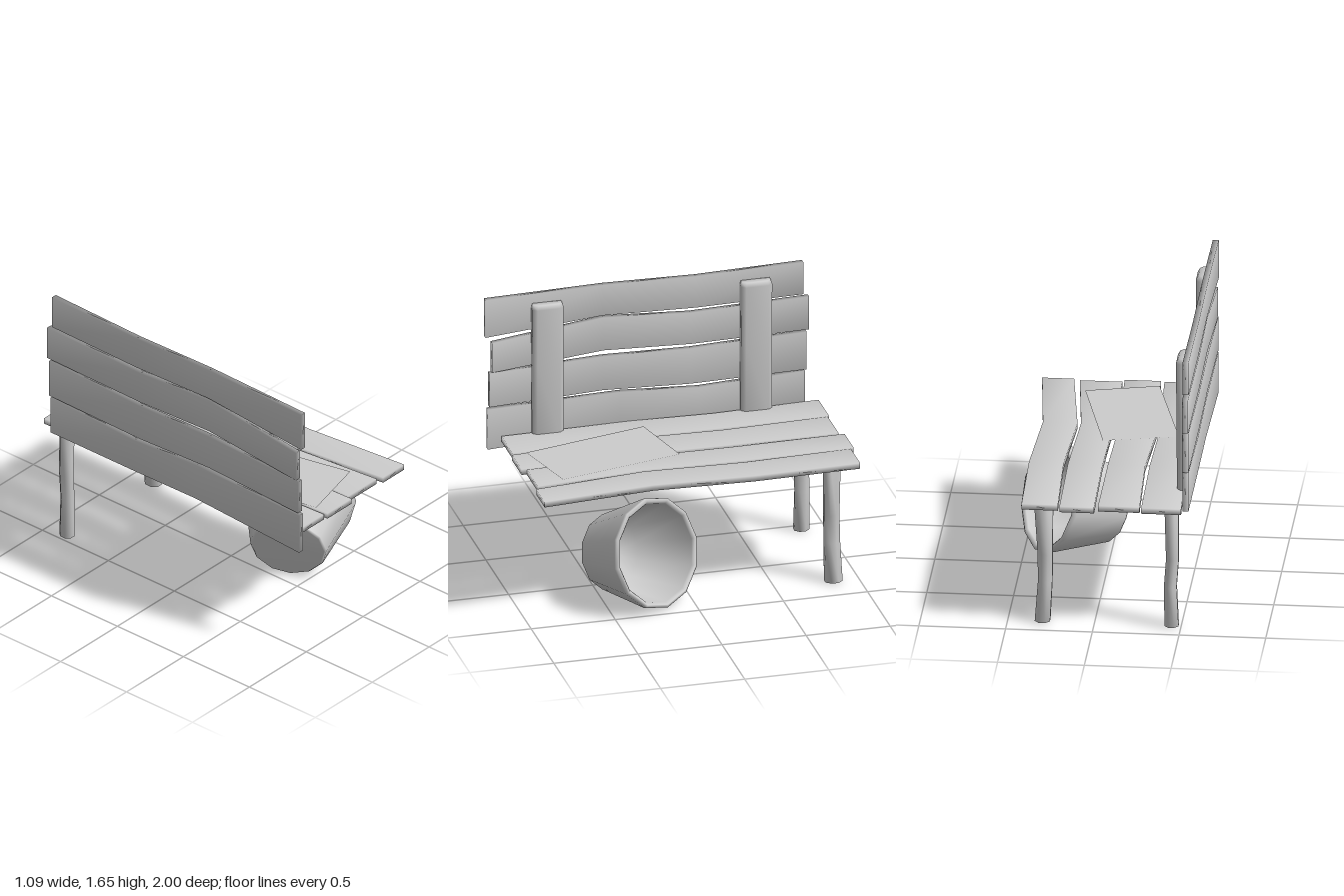
import * as THREE from 'three';

const grey = new THREE.MeshStandardMaterial({ color: 0xcccccc });
grey.name = 'plainGrey';
const greySheet = grey.clone();
greySheet.name = 'plainGreySheet';
greySheet.side = THREE.DoubleSide;

// Solid through a list of convex rings, closed at both ends, soft normals
function loft(name, rings) {
  const n = rings[0].length;
  const last = (rings.length - 1) * n;
  const index = [];
  for (let r = 0; r < rings.length - 1; r++) {
    for (let i = 0; i < n; i++) {
      const a = r * n + i, b = r * n + (i + 1) % n;
      index.push(a, b, b + n, a, b + n, a + n);
    }
  }
  for (let i = 1; i < n - 1; i++) {
    index.push(0, i + 1, i, last, last + i, last + i + 1);
  }
  // Turn the faces outward whichever way the rings run
  const p = rings.flat();
  const c = p.reduce((s, v) => s.add(v), new THREE.Vector3()).divideScalar(p.length);
  let volume = 0;
  for (let i = 0; i < index.length; i += 3) {
    const [a, b, d] = [0, 1, 2].map((k) => p[index[i + k]].clone().sub(c));
    volume += a.dot(b.cross(d));
  }
  if (volume < 0) index.reverse();
  const g = new THREE.BufferGeometry().setFromPoints(p);
  g.setIndex(index);
  g.computeVertexNormals();
  const mesh = new THREE.Mesh(g, grey);
  mesh.name = name;
  return mesh;
}

const v = (x, y, z) => new THREE.Vector3(x, y, z);

export function createModel() {
  const model = new THREE.Group();
  model.name = 'benchWithBucket';

  // Seat planks: stations of z, left edge, right edge
  const seat = new THREE.Group();
  seat.name = 'seat';
  [
    [[-0.98, -0.51, -0.28], [-0.35, -0.485, -0.27], [0.15, -0.505, -0.28], [0.91, -0.49, -0.24]],
    [[-0.97, -0.27, -0.03], [-0.35, -0.245, -0.03], [0.15, -0.265, -0.04], [0.92, -0.22, -0.01]],
    [[-1.0, -0.01, 0.19], [-0.35, 0.0, 0.2], [0.25, -0.01, 0.18], [0.89, 0.0, 0.245]],
    [[-0.98, 0.2, 0.41], [-0.35, 0.225, 0.425], [0.25, 0.2, 0.4], [0.91, 0.28, 0.465]],
  ].forEach((plank) => seat.add(loft('seatPlank', plank.map(([z, a, b]) => [
    v(a, 0.74, z), v(b, 0.74, z), v(b, 0.775, z), v(a, 0.775, z),
  ]))));
  model.add(seat);

  // Back slats: stations of z, lower edge, upper edge
  const back = new THREE.Group();
  back.name = 'backrest';
  [
    [[1.0, 1.395, 1.63], [0.3, 1.455, 1.645], [-0.25, 1.44, 1.635], [-0.89, 1.45, 1.65]],
    [[0.96, 1.17, 1.355], [0.3, 1.235, 1.44], [-0.22, 1.215, 1.41], [-0.925, 1.225, 1.43]],
    [[0.975, 0.955, 1.165], [0.3, 0.985, 1.195], [-0.22, 0.965, 1.185], [-0.91, 0.975, 1.21]],
    [[0.985, 0.69, 0.94], [0.2, 0.735, 0.96], [-0.27, 0.73, 0.935], [-0.9, 0.73, 0.965]],
  ].forEach((slat) => back.add(loft('backSlat', slat.map(([z, a, b]) => [
    v(-0.545, a, z), v(-0.51, a, z), v(-0.51, b, z), v(-0.545, b, z),
  ]))));

  // Backrest posts with bevelled front corners and a bevelled top
  for (const z of [0.637, -0.603]) {
    const ring = (y, w, x) => [
      v(-0.512, y, z - w), v(x - 0.02, y, z - w), v(x, y, z - w + 0.025),
      v(x, y, z + w - 0.025), v(x - 0.02, y, z + w), v(-0.512, y, z + w),
    ];
    back.add(loft('backPost', [
      ring(0.74, 0.093, -0.458), ring(1.2, 0.092, -0.455),
      ring(1.555, 0.092, -0.452), ring(1.58, 0.085, -0.465),
    ]));
  }
  model.add(back);

  // Slightly crooked legs: stations of y, centre x, centre z, radius x, radius z
  [
    [[0.005, -0.445, -0.86, 0.041, 0.045], [0.25, -0.438, -0.862, 0.037, 0.042],
      [0.42, -0.45, -0.862, 0.037, 0.042], [0.74, -0.445, -0.86, 0.041, 0.045]],
    [[0.005, 0.3, -0.85, 0.045, 0.052], [0.25, 0.285, -0.845, 0.042, 0.046],
      [0.42, 0.285, -0.842, 0.044, 0.045], [0.74, 0.295, -0.842, 0.055, 0.048]],
  ].forEach((leg) => model.add(loft('leg', leg.map(([y, x, z, rx, rz]) =>
    Array.from({ length: 8 }, (_, i) => {
      const a = (i + 0.5) * Math.PI / 4;
      return v(x + rx * Math.cos(a) * 1.06, y, z + rz * Math.sin(a) * 1.06);
    })))));

  // Loose sheet lying on the seat
  const corners = [v(-0.4, 0.78, 0.09), v(-0.22, 0.78, 0.835), v(0.2, 0.78, 0.73), v(0.03, 0.78, -0.01)];
  const sheetGeometry = new THREE.BufferGeometry().setFromPoints(corners);
  sheetGeometry.setIndex([0, 1, 2, 0, 2, 3]);
  sheetGeometry.computeVertexNormals();
  const sheet = new THREE.Mesh(sheetGeometry, greySheet);
  sheet.name = 'paperSheet';
  model.add(sheet);

  // Hollow bucket lying on its side
  const base = v(0.02, 0.212, 0.415);
  const axis = v(0.36, 0.327, 0.215).sub(base);
  const h = axis.length();
  const profile = [
    [0, 0], [0.21, 0], [0.222, 0.012], [0.325, h - 0.02], [0.325, h],
    [0.308, h + 0.006], [0.292, h - 0.01], [0.2, 0.04], [0, 0.03],
  ].map(([r, y]) => new THREE.Vector2(r, y));
  const bucket = new THREE.Mesh(new THREE.LatheGeometry(profile, 12), grey);
  bucket.name = 'bucket';
  bucket.position.copy(base);
  bucket.quaternion.setFromUnitVectors(v(0, 1, 0), axis.normalize());
  model.add(bucket);

  return model;
}
